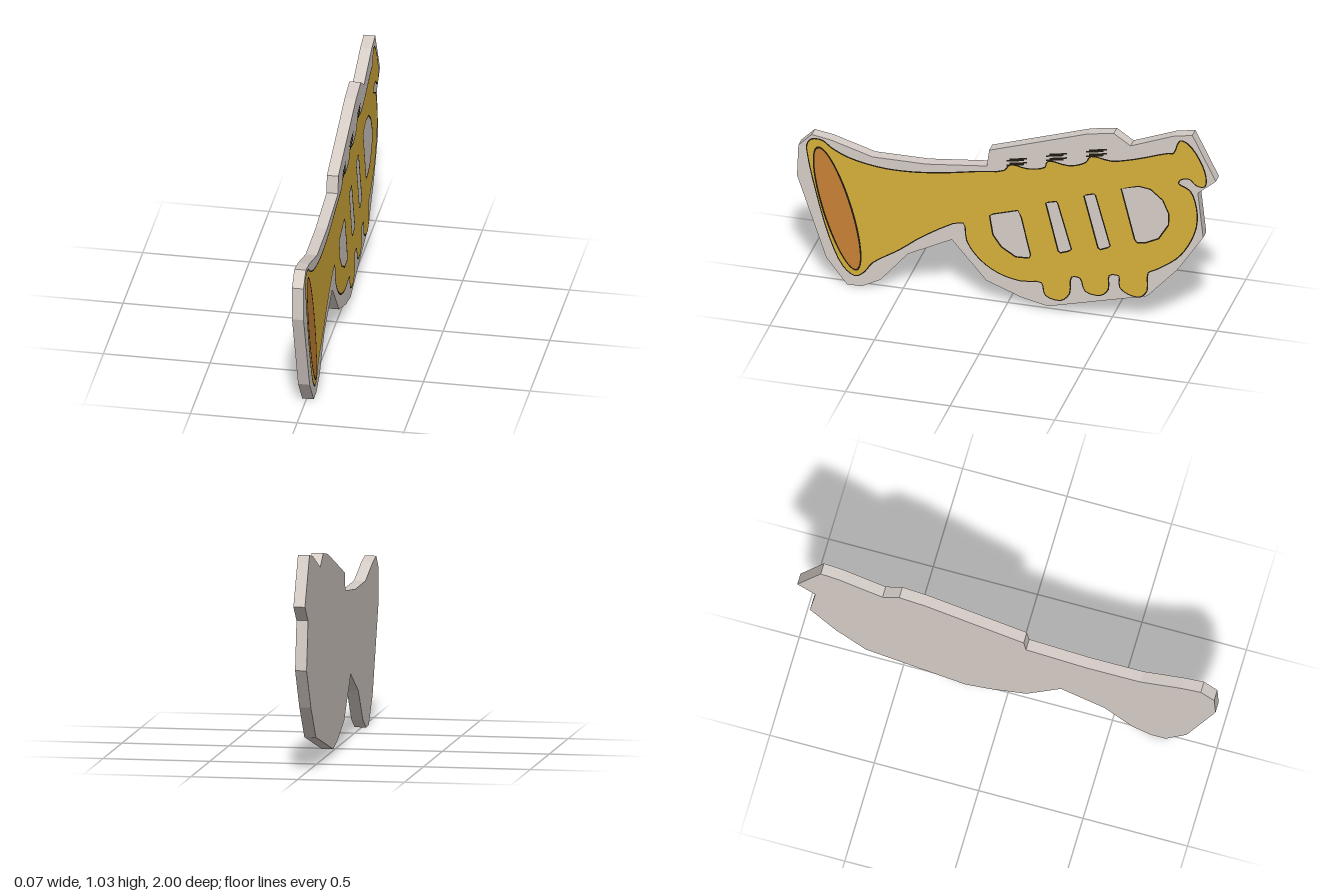
import * as THREE from 'three';

// Flat profiles are pairs (u, y), where u runs towards the back (u = -z)
const SLAB = [-.76, 0, -.69, 0, -.6, .048, -.47, .203, -.26, .31, -.094, .118, .078, .053, .2, .027,
  .673, .15, .817, .31, .94, .498, .914, .728, 1, .803, .887, 1.03, .796, 1.012, .592, .931,
  .512, .985, .389, .964, -.083, .808, -.094, .723, -.383, .69, -.64, .69, -.839, .75,
  -.93, .765, -.994, .7, -1, .54, -.86, .128];

const HORN = [-.95, .71, -.93, .74, -.88, .74, -.84, .71, -.76, .67, -.62, .64, -.49, .635, -.33, .65,
  -.14, .685, -.01, .71, .02, .745, .1, .735, .185, .755, .2, .79, .3, .78, .38, .81, .405, .845,
  .5, .835, .61, .86, .77, .915, .8, .92, .83, .99, .865, .98, .92, .905, .95, .82, .945, .77,
  .91, .77, .875, .8, .83, .79, .82, .765, .875, .735, .905, .65, .905, .55, .865, .445, .81, .37,
  .715, .3, .675, .275, .67, .18, .64, .145, .585, .15, .545, .18, .54, .24, .49, .235, .485, .16,
  .45, .125, .38, .135, .355, .2, .31, .2, .3, .11, .26, .07, .19, .085, .17, .15, .07, .145,
  -.035, .17, -.125, .23, -.185, .315, -.205, .41, -.385, .32, -.515, .22, -.64, .135, -.68, .08,
  -.72, .055, -.775, .095, -.84, .235, -.91, .485, -.945, .65];

const HOLES = [
  [-.083, .465, -.06, .48, .055, .515, .075, .48, .12, .285, .11, .265, .045, .262, -.025, .305, -.067, .365],
  [.185, .57, .2, .58, .24, .59, .25, .575, .315, .345, .3, .33, .26, .315, .245, .325],
  [.367, .635, .38, .645, .42, .657, .43, .645, .5, .39, .485, .375, .45, .36, .435, .37],
  [.545, .7, .63, .728, .69, .72, .75, .67, .78, .6, .778, .54, .73, .46, .67, .43, .625, .422, .61, .44],
];

const toPoints = (a) => Array.from({ length: a.length / 2 }, (_, i) => new THREE.Vector2(a[2 * i], a[2 * i + 1]));

// Closed smooth curve through a profile
function smooth(points) {
  const curve = new THREE.CatmullRomCurve3(points.map((p) => new THREE.Vector3(p.x, p.y, 0)), true);
  return curve.getPoints(points.length * 3).slice(0, -1).map((p) => new THREE.Vector2(p.x, p.y));
}

// Grow (d > 0) or shrink (d < 0) a closed profile along its normals
function offset(points, d) {
  const s = THREE.ShapeUtils.isClockWise(points) ? -d : d;
  const n = points.length;
  return points.map((p, i) => {
    const t = points[(i + 1) % n].clone().sub(points[(i + n - 1) % n]).normalize();
    return new THREE.Vector2(p.x + t.y * s, p.y - t.x * s);
  });
}

function shapeOf(outline, holes = []) {
  const shape = new THREE.Shape(outline);
  shape.holes = holes.map((h) => new THREE.Path(h));
  return shape;
}

// Tilted ellipse for the bell opening
function ellipse(rx, ry) {
  return new THREE.EllipseCurve(-.807, .395, rx, ry, 0, Math.PI * 2, false, .29).getPoints(48).slice(0, -1);
}

// Turn a flat geometry to face +x at the given height, with the slight lean of the slab
function place(geometry, x) {
  geometry.rotateY(Math.PI / 2).translate(x, 0, 0);
  const p = geometry.attributes.position;
  for (let i = 0; i < p.count; i++) {
    p.setX(i, p.getX(i) + .0035 - .0081 * p.getY(i) + .0041 * p.getZ(i));
  }
  geometry.computeVertexNormals();
  return geometry;
}

export function createModel() {
  const model = new THREE.Group();
  model.name = 'trumpetPlaque';
  const material = (name, color) => Object.assign(new THREE.MeshStandardMaterial({ color }), { name });
  const grey = material('warmGrey', 0xd6cdc7);
  const gold = material('gold', 0xd6af3a);
  const orange = material('copperOrange', 0xc88236);
  const dark = material('inkBlack', 0x1f1a10);
  const add = (name, geometry, mat, x) => {
    const mesh = new THREE.Mesh(place(geometry, x), mat);
    mesh.name = name;
    model.add(mesh);
  };
  const half = .027;
  const face = (name, shapes, mat, layer) => add(name, new THREE.ShapeGeometry(shapes), mat, half + layer * .0012);

  // Backing slab
  add('backingSlab', new THREE.ExtrudeGeometry(shapeOf(toPoints(SLAB)), { depth: half * 2, bevelEnabled: false }), grey, -half);

  // Horn body with a thin ink edge under it
  const body = smooth(toPoints(HORN));
  const holes = HOLES.map(toPoints);
  face('inkOutline', shapeOf(offset(body, .006), holes.map((h) => offset(h, -.007))), dark, 1);
  face('hornBody', shapeOf(body, holes), gold, 2);

  // Bell opening
  face('bellRim', shapeOf(ellipse(.073, .328)), dark, 3);
  face('bellOpening', shapeOf(ellipse(.064, .318)), orange, 4);

  // Hatched valve caps above the body
  const strokes = [];
  for (const [u, y] of [[.05, .768], [.24, .822], [.43, .872]]) {
    for (let i = 0; i < 4; i++) {
      const cy = y + (i - 1.5) * .011;
      const cu = u + (i % 2 ? .008 : -.008);
      strokes.push(shapeOf(toPoints([cu - .042, cy - .012, cu + .042, cy + .004, cu + .042, cy + .012, cu - .042, cy - .004])));
    }
  }
  face('valveCapHatching', strokes, dark, 3);
  return model;
}
